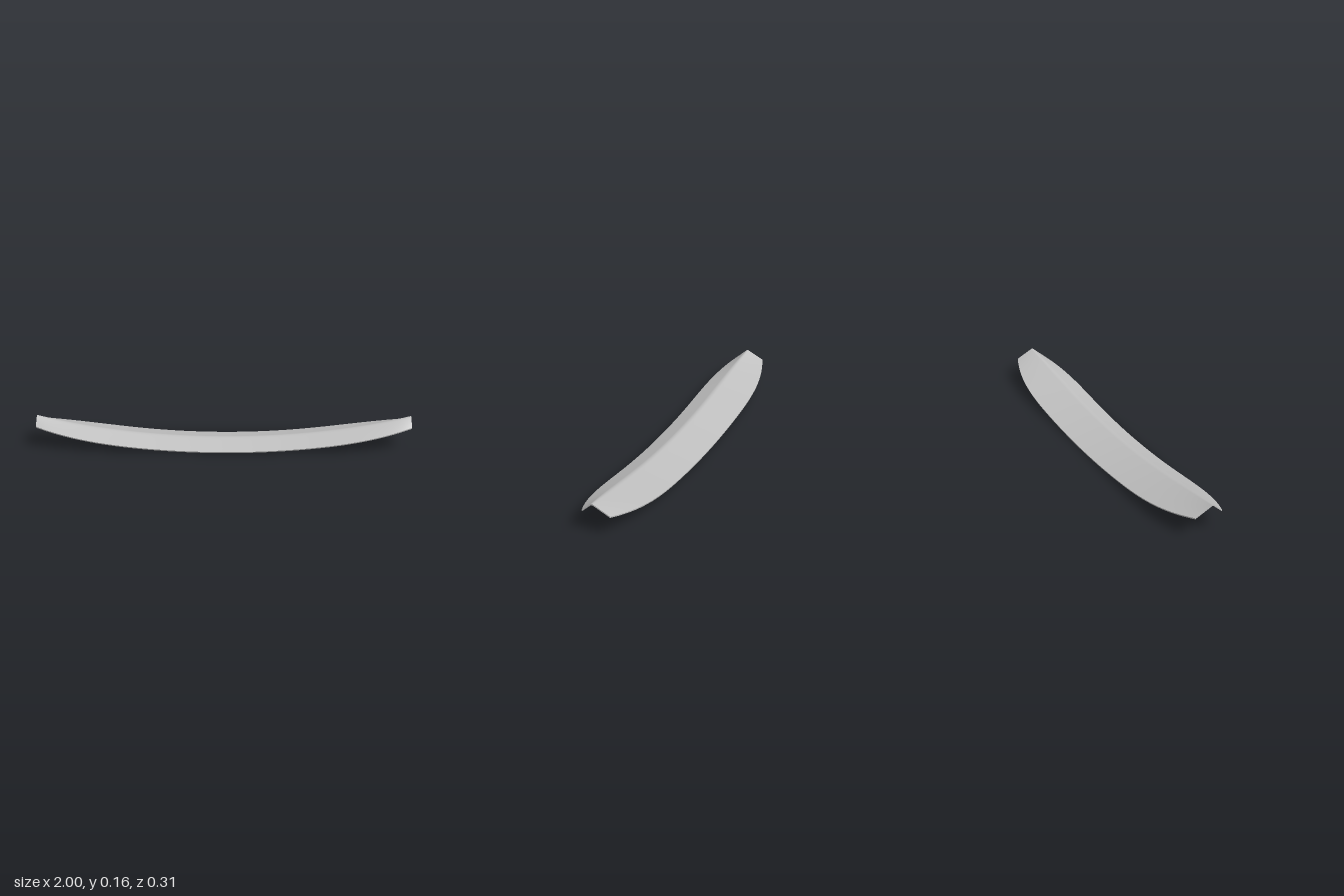
import * as THREE from 'three';

const HALF_WIDTH = 0.154, RIDGE_Z = 0.045, RIDGE_Y = 0.055, EDGE_Y = 0.0068;
const BLEND = 0.016, THICK = 0.007, RISE = 0.112;
const backSlope = (RIDGE_Y - EDGE_Y) / (HALF_WIDTH + RIDGE_Z);
const frontSlope = -(RIDGE_Y - EDGE_Y) / (HALF_WIDTH - RIDGE_Z);

// Height and slope of the folded cross-section, with a softly rounded ridge
function section(z) {
  const d = z - RIDGE_Z;
  if (d <= -BLEND) return [RIDGE_Y + d * backSlope, backSlope];
  if (d >= BLEND) return [RIDGE_Y + d * frontSlope, frontSlope];
  const mid = (backSlope + frontSlope) / 2, bend = (frontSlope - backSlope) / (4 * BLEND);
  return [RIDGE_Y + mid * d + bend * (d * d + BLEND * BLEND), mid + 2 * bend * d];
}

// Point on the shell: x along the length, z across, depth 0 = top and 1 = underside
function shellPoint(x, z, depth) {
  const [y, slope] = section(z);
  const n = THICK * depth / Math.hypot(1, slope);
  const t = Math.max(0, (Math.abs(x) - 0.4) / 0.6);
  const taper = 1 - 0.51 * Math.pow(t, 3.2);
  return [x, y - n + RISE * x * x, (z + n * slope) * taper];
}

// Surface over two lists of parameters
function grid(us, vs, fn, flip) {
  const pos = [], idx = [];
  for (const u of us) for (const v of vs) pos.push(...fn(u, v));
  const w = vs.length;
  for (let i = 0; i < us.length - 1; i++) {
    for (let j = 0; j < w - 1; j++) {
      const a = i * w + j, b = a + 1, c = a + w, d = c + 1;
      if (flip) idx.push(a, c, b, b, c, d);
      else idx.push(a, b, c, b, d, c);
    }
  }
  const g = new THREE.BufferGeometry();
  g.setAttribute('position', new THREE.Float32BufferAttribute(pos, 3));
  g.setIndex(idx);
  g.computeVertexNormals();
  return g;
}

export function createModel() {
  const model = new THREE.Group();
  model.name = 'curvedSlat';
  const grey = new THREE.MeshStandardMaterial({ color: 0xbfbfbf });
  grey.name = 'light grey';

  const xs = Array.from({ length: 81 }, (_, i) => -1 + i / 40);
  const zs = [-HALF_WIDTH, -0.1, -0.04, 0.01];
  for (let i = 0; i <= 8; i++) zs.push(RIDGE_Z - BLEND + BLEND * i / 4);
  zs.push(0.08, 0.115, HALF_WIDTH);
  const depths = [0, 1];

  const add = (name, geometry) => {
    const mesh = new THREE.Mesh(geometry, grey);
    mesh.name = name;
    model.add(mesh);
  };

  // Top and underside of the bent sheet
  add('topSurface', grid(xs, zs, (x, z) => shellPoint(x, z, 0), false));
  add('underside', grid(xs, zs, (x, z) => shellPoint(x, z, 1), true));

  // Thin rims along the long edges and across both ends
  add('frontRim', grid(xs, depths, (x, d) => shellPoint(x, HALF_WIDTH, d), false));
  add('backRim', grid(xs, depths, (x, d) => shellPoint(x, -HALF_WIDTH, d), true));
  add('leftEnd', grid(zs, depths, (z, d) => shellPoint(1, z, d), true));
  add('rightEnd', grid(zs, depths, (z, d) => shellPoint(-1, z, d), false));

  return model;
}
